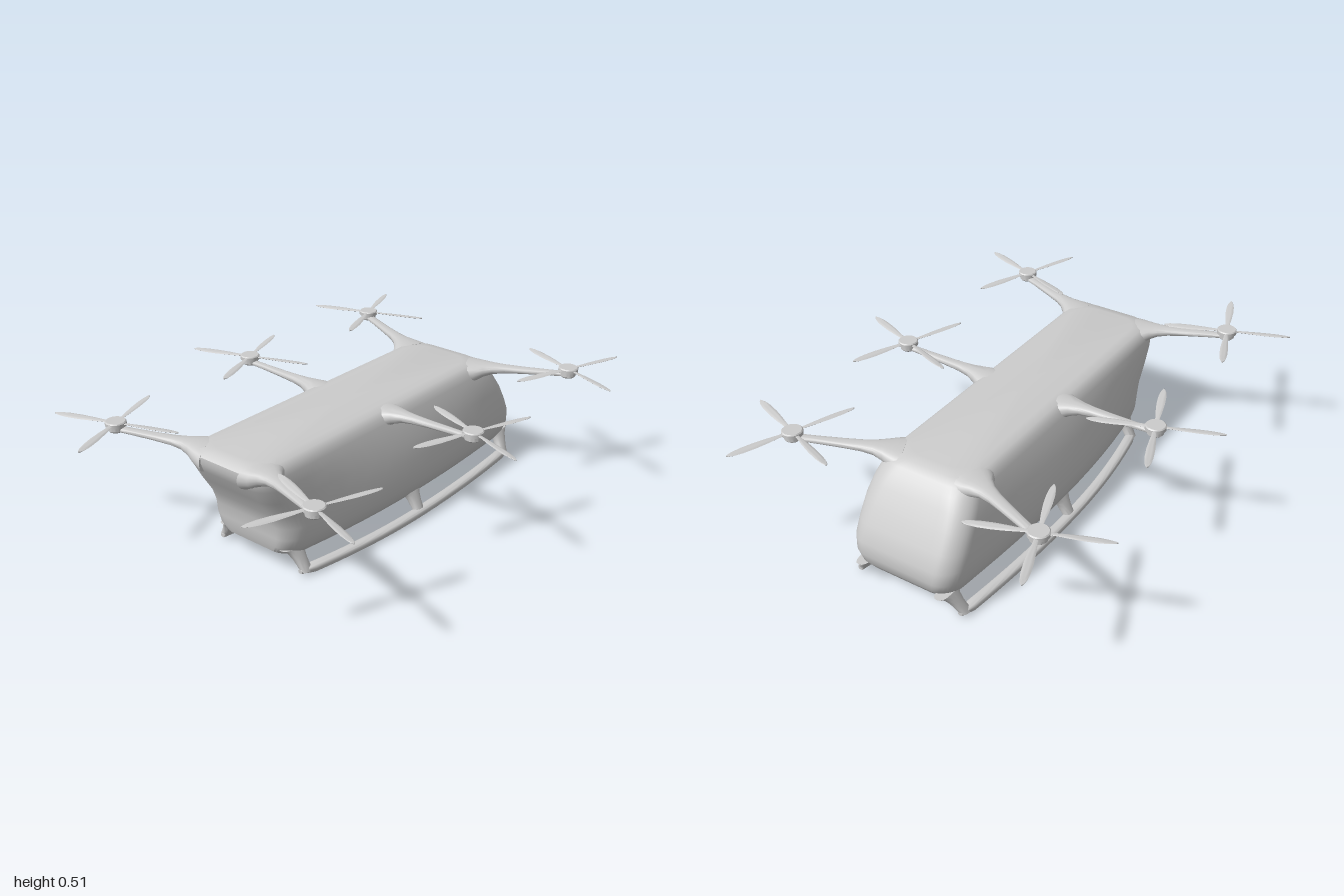
import * as THREE from 'three';
import { toCreasedNormals } from 'three/addons/utils/BufferGeometryUtils.js';

const material = new THREE.MeshStandardMaterial({ color: 0xcccccc });
const V = (x, y, z) => new THREE.Vector3(x, y, z);

// Closed skin through rings of equal point count, with flat caps; faces always point outward
function skin(rings, crease = 0.7) {
  const n = rings[0].length, pts = rings.flat(), idx = [];
  const last = rings.length - 1;
  for (let i = 0; i < last; i++) {
    for (let j = 0; j < n; j++) {
      const k = (j + 1) % n;
      const a = i * n + j, b = i * n + k;
      idx.push(a, a + n, b, b, a + n, b + n);
    }
  }
  const centre = (r) => r.reduce((s, p) => s.add(p), V(0, 0, 0)).divideScalar(n);
  const c0 = pts.push(centre(rings[0])) - 1;
  const c1 = pts.push(centre(rings[last])) - 1;
  for (let j = 0; j < n; j++) {
    const k = (j + 1) % n;
    idx.push(c0, j, k, c1, last * n + k, last * n + j);
  }
  let volume = 0;
  for (let i = 0; i < idx.length; i += 3) {
    volume += pts[idx[i]].dot(pts[idx[i + 1]].clone().cross(pts[idx[i + 2]]));
  }
  if (volume < 0) idx.reverse();
  const g = new THREE.BufferGeometry().setFromPoints(pts);
  g.setIndex(idx);
  return toCreasedNormals(g, crease);
}

// Superellipse ring around c with half axes u and v
function ring(c, u, v, power = 1, n = 20) {
  const f = (t) => Math.sign(t) * Math.abs(t) ** power;
  return Array.from({ length: n }, (_, j) => {
    const a = (j / n) * Math.PI * 2;
    return c.clone().addScaledVector(u, f(Math.cos(a))).addScaledVector(v, f(Math.sin(a)));
  });
}

function add(parent, name, geometry) {
  const mesh = new THREE.Mesh(geometry, material);
  mesh.name = name;
  parent.add(mesh);
  return mesh;
}

// Cabin: stacked rounded outlines [y, rear x, nose x, half width]
function cabinGeometry() {
  const layers = [
    [0.08, -0.545, 0.79, 0.205], [0.09, -0.565, 0.82, 0.228], [0.12, -0.575, 0.84, 0.252],
    [0.16, -0.58, 0.85, 0.266], [0.21, -0.583, 0.844, 0.27], [0.27, -0.607, 0.815, 0.262],
    [0.34, -0.652, 0.775, 0.243], [0.4, -0.688, 0.735, 0.222], [0.44, -0.708, 0.705, 0.204],
    [0.465, -0.708, 0.68, 0.192], [0.482, -0.69, 0.65, 0.172], [0.489, -0.65, 0.61, 0.14],
  ];
  const rings = layers.map(([y, x0, x1, w]) => {
    const out = [], r = 0.085, bow = THREE.MathUtils.clamp((0.45 - y) / 0.2, 0, 1);
    const put = (x, z) => {
      const d = x - 0.12;
      const taper = 1 - bow * (d < 0 ? 0.5 : 0.33) * d * d;
      out.push(V(x, y, z * taper));
    };
    // corners by quarter arcs, sides by evenly spaced points
    const corners = [[x1 - r, w - r, 0], [x0 + r, w - r, 1], [x0 + r, r - w, 2], [x1 - r, r - w, 3]];
    corners.forEach(([cx, cz, q], i) => {
      for (let k = 0; k <= 8; k++) {
        const a = (q + k / 8) * Math.PI / 2;
        put(cx + r * Math.cos(a), cz + r * Math.sin(a));
      }
      const [nx, nz, nq] = corners[(i + 1) % 4];
      const from = out[out.length - 1].x;
      const z = w * Math.sign(cz);
      for (let k = 1; k < 12; k++) {
        if (nq === 1 || nq === 3) put(THREE.MathUtils.lerp(from, nx, k / 12), z);
        else put(from, THREE.MathUtils.lerp(cz, nz, k / 12));
      }
    });
    return out;
  });
  return skin(rings, 0.75);
}

// Arm flaring into the cabin roof: [fraction, half width, top y, bottom y]
function armGeometry(root, tip, widen) {
  const along = tip.clone().sub(root);
  const side = V(-along.z, 0, along.x).normalize();
  const stations = [
    [0, 0.095, 0.487, 0.39], [0.1, 0.075, 0.487, 0.41], [0.18, 0.053, 0.487, 0.432],
    [0.27, 0.036, 0.486, 0.446], [0.38, 0.027, 0.485, 0.453], [0.55, 0.023, 0.484, 0.459],
    [0.8, 0.019, 0.485, 0.465], [1, 0.018, 0.486, 0.469],
  ];
  return skin(stations.map(([t, w, top, low]) => {
    const c = root.clone().addScaledVector(along, t).setY((top + low) / 2);
    return ring(c, side.clone().multiplyScalar(w * widen), V(0, (top - low) / 2, 0), 0.8);
  }));
}

// Leaf-shaped blade along +x, slightly pitched
function bladeGeometry() {
  const stations = [[0.02, 0.007], [0.06, 0.009], [0.1, 0.013], [0.15, 0.016],
    [0.2, 0.0155], [0.235, 0.011], [0.25, 0.006], [0.257, 0.001]];
  return skin(stations.map(([r, w]) =>
    ring(V(r, 0, 0), V(0, w * 0.12, w), V(0, 0.0028, 0), 1, 10)));
}

function rotor(blade, mirror) {
  const g = new THREE.Group();
  const hub = [[0, -0.032], [0.026, -0.032], [0.032, -0.026], [0.032, -0.012], [0.04, -0.009],
    [0.04, 0.005], [0.036, 0.009], [0, 0.009]].map(([r, y]) => new THREE.Vector2(r, y));
  add(g, 'rotorHub', toCreasedNormals(new THREE.LatheGeometry(hub, 28), 0.6));
  for (let k = 0; k < 4; k++) {
    add(g, 'rotorBlade', blade).rotation.y = -mirror * 0.357 + k * Math.PI / 2;
  }
  return g;
}

// Landing skid: bowed rail and three splayed struts
function skid(s) {
  const g = new THREE.Group();
  const railZ = (x) => 0.268 - (x < 0.11 ? 0.165 : 0.09) * (x - 0.11) ** 2;
  const rail = [];
  for (let i = 0; i <= 24; i++) {
    const t = i / 24;
    const x = -0.525 + 1.32 * t;
    const e = Math.min(1, 0.45 + 14 * Math.min(t, 1 - t));
    rail.push(ring(V(x, 0.02, s * railZ(x)), V(0, 0.017 * e, 0), V(0, 0, 0.022 * e), 0.75));
  }
  add(g, 'skidRail', skin(rail));
  for (const [x, lean] of [[-0.497, -0.013], [0.112, 0], [0.768, 0.03]]) {
    const rings = [[0, 0.025], [0.25, 0.025], [0.5, 0.028], [0.75, 0.036], [0.9, 0.046], [1, 0.06]]
      .map(([t, w]) => ring(
        V(x + lean * t, 0.018 + 0.092 * t, s * (railZ(x) - 0.055 * t)),
        V(w, 0, 0), V(0, 0, s * (0.018 + 0.008 * t)), 0.75));
    add(g, 'skidStrut', skin(rings));
  }
  return g;
}

export function createModel() {
  const model = new THREE.Group();
  model.name = 'multirotorAircraft';
  add(model, 'cabin', cabinGeometry());

  const blade = bladeGeometry();
  // [root x, root z, rotor x, rotor z, arm width]
  const arms = [
    ['rear', -0.63, 0.125, -0.76, 0.488, 1],
    ['middle', 0.02, 0.14, 0.02, 0.564, 0.85],
    ['front', 0.59, 0.14, 0.755, 0.525, 1],
  ];
  for (const s of [1, -1]) {
    const label = s > 0 ? 'Front' : 'Back';
    for (const [name, rx, rz, x, z, widen] of arms) {
      add(model, `${name}Arm${label}`, armGeometry(V(rx, 0, s * rz), V(x, 0, s * z), widen));
      const r = rotor(blade, s);
      r.name = `${name}Rotor${label}`;
      r.position.set(x, 0.5, s * z);
      model.add(r);
    }
    const k = skid(s);
    k.name = `skid${label}`;
    model.add(k);
  }
  return model;
}
